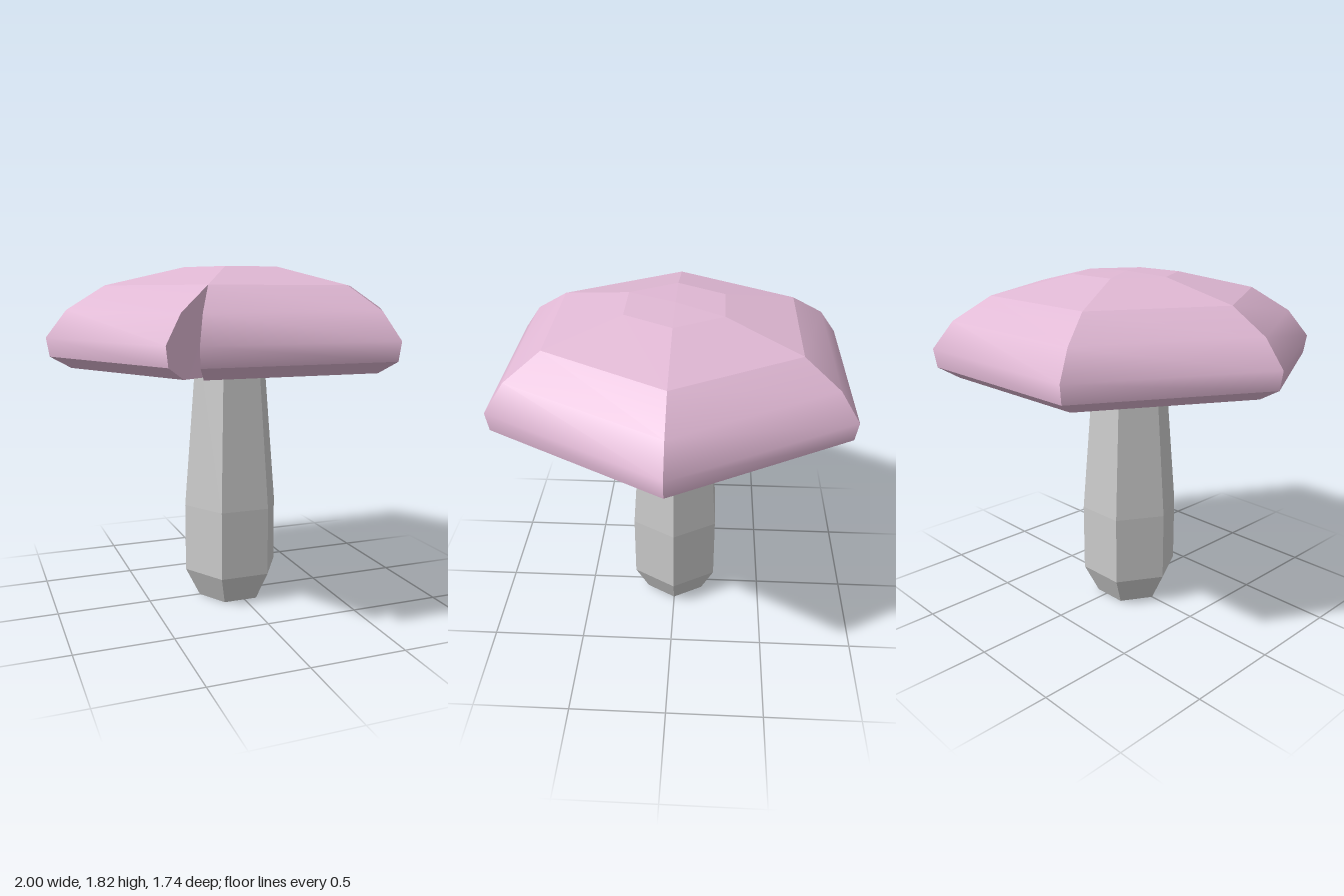
import * as THREE from 'three';
import { mergeGeometries } from 'three/addons/utils/BufferGeometryUtils.js';

const SIDES = 6;

// Cap profile as [corner radius, height] runs; each run shades smoothly, runs meet in sharp edges
const RUNS = [
  [[0, 1.82], [0.28, 1.81]],                              // crown
  [[0.28, 1.81], [0.7, 1.715]],                           // shoulder
  [[0.7, 1.715], [0.895, 1.595], [1, 1.46], [0.985, 1.365]], // rounded side
  [[0.985, 1.365], [0.88, 1.305]],                        // lower bevel
  [[0.88, 1.305], [0.74, 1.305]],                         // rim
  [[0.74, 1.305], [0.67, 1.365]],                         // recess wall
  [[0.67, 1.365], [0, 1.46]],                             // gill ceiling
];
const NOTCH = [[0.7, 1.715], [0.895, 1.595], [1, 1.46], [0.985, 1.365], [0.88, 1.305], [0.74, 1.305]];

// Corner of the hexagonal cap; the two panels beside the notch are pulled apart outside the crown
function corner(index, atEnd, [r, y]) {
  const angle = (index * Math.PI * 2) / SIDES;
  const p = new THREE.Vector3(r * Math.cos(angle), y, r * Math.sin(angle));
  const open = r < 0.8 ? 0 : (r - 0.7) / 0.3;
  if (index === 2) {
    if (atEnd) p.add(new THREE.Vector3(0.025 * open, 0, 0.004 * open));
    else p.add(new THREE.Vector3(-0.1 * open, 0, -0.075 * open));
  }
  return p;
}

function build(points, index) {
  const g = new THREE.BufferGeometry().setFromPoints(points);
  g.setIndex(index);
  g.computeVertexNormals();
  return g;
}

// One panel of the cap between two neighbouring corners
function panel(i, run) {
  const points = [], index = [];
  run.forEach((p, j) => {
    points.push(corner(i, false, p), corner(i + 1, true, p));
    if (j) {
      const a = 2 * j - 2;
      index.push(a, a + 1, a + 2, a + 1, a + 3, a + 2);
    }
  });
  return build(points, index);
}

// Cut face on one side of the notch
function notchWall(atEnd) {
  const points = NOTCH.map((p) => corner(2, atEnd, p));
  if (atEnd) points.reverse();
  const index = [];
  for (let k = 1; k < points.length - 1; k++) index.push(0, k, k + 1);
  return build(points, index);
}

export function createModel() {
  const group = new THREE.Group();

  // Cap: six panels plus the split corner
  const parts = [notchWall(true), notchWall(false)];
  for (let i = 0; i < SIDES; i++) for (const run of RUNS) parts.push(panel(i, run));
  const cap = new THREE.Mesh(
    mergeGeometries(parts),
    new THREE.MeshStandardMaterial({ color: 0xe0b8d4 })
  );
  cap.name = 'cap';
  group.add(cap);

  // Stem: six-sided, swollen low down and tapering into the cap
  const profile = [[0, 0], [0.185, 0], [0.265, 0.16], [0.265, 0.53], [0.188, 1.46], [0, 1.46]];
  const stem = new THREE.Mesh(
    new THREE.LatheGeometry(profile.map(([r, y]) => new THREE.Vector2(r, y)), SIDES, Math.PI / 2),
    new THREE.MeshStandardMaterial({ color: 0xcccccc, flatShading: true })
  );
  stem.name = 'stem';
  stem.position.x = -0.025;
  group.add(stem);

  return group;
}
